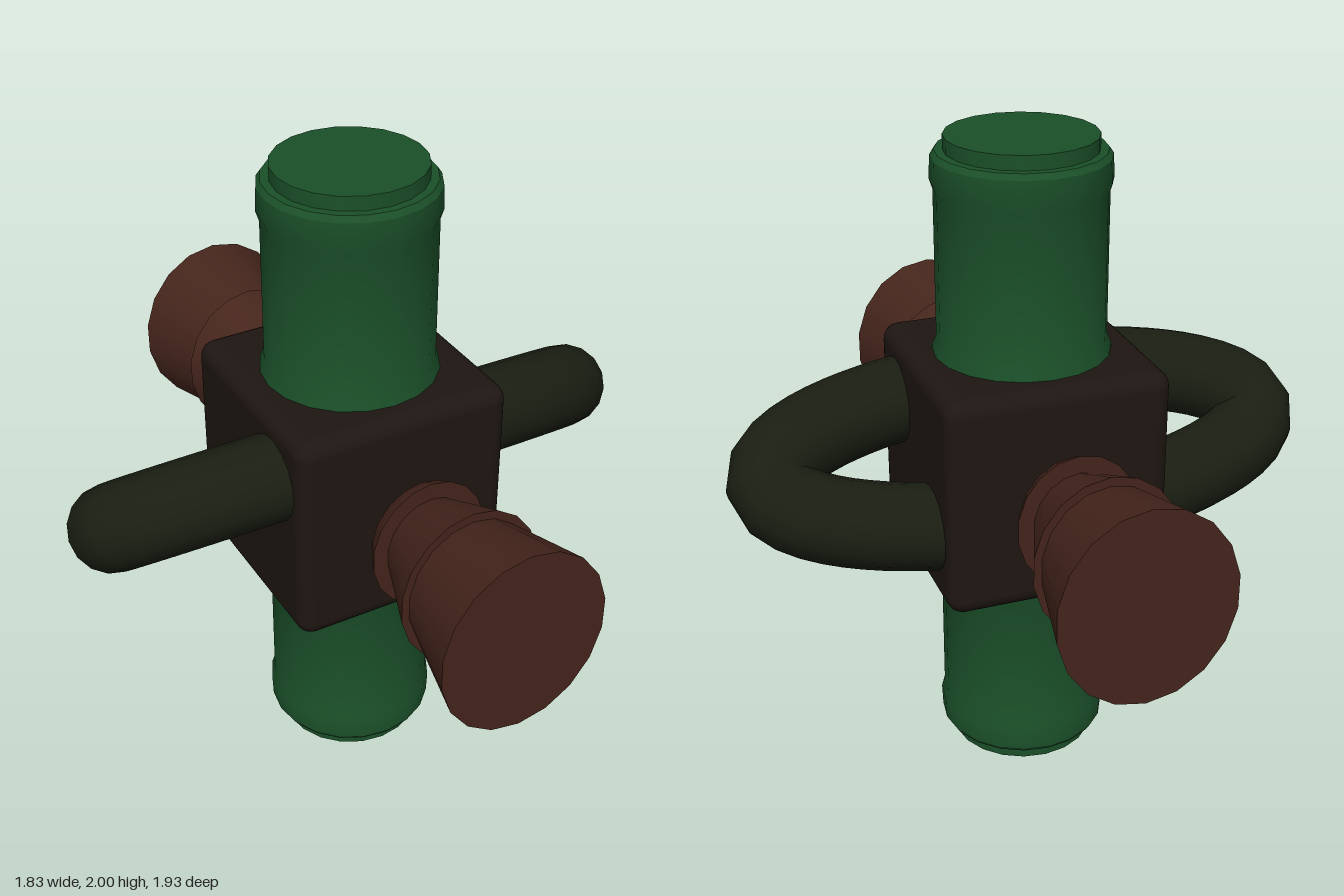
import * as THREE from 'three';
import { toCreasedNormals } from 'three/addons/utils/BufferGeometryUtils.js';
import { RoundedBoxGeometry } from 'three/addons/geometries/RoundedBoxGeometry.js';

const paint = (color) => new THREE.MeshStandardMaterial({ color });

// Turned part from [radius, height] pairs, listed from bottom to top
function turned(profile, sides) {
  const points = profile.map(([r, y]) => new THREE.Vector2(r, y));
  return toCreasedNormals(new THREE.LatheGeometry(points, sides), 0.55);
}

// Closed oval path in the xz plane
class Oval extends THREE.Curve {
  constructor(a, b) {
    super();
    this.a = a;
    this.b = b;
  }
  getPoint(t, target = new THREE.Vector3()) {
    const angle = t * Math.PI * 2;
    return target.set(this.a * Math.cos(angle), 0, this.b * Math.sin(angle));
  }
}

export function createModel() {
  const model = new THREE.Group();
  const add = (name, geometry, material) => {
    const mesh = new THREE.Mesh(geometry, material);
    mesh.name = name;
    model.add(mesh);
    return mesh;
  };

  const green = paint(0x1b5029);
  const brown = paint(0x45251c);

  // Central block
  add('block', new RoundedBoxGeometry(0.69, 0.69, 0.69, 3, 0.05), paint(0x1e1612))
    .position.y = 1.005;

  // Upright posts: flared foot, collar near the end and a narrower end plug
  const post = turned([
    [0.27, 0.3], [0.268, 0.36], [0.255, 0.39], [0.255, 0.84], [0.265, 0.87],
    [0.262, 0.94], [0.25, 0.957], [0.225, 0.957], [0.225, 1], [0, 1],
  ], 20);
  add('upperPost', post, green).position.y = 1;
  const lowerPost = add('lowerPost', post, green);
  lowerPost.position.y = 1;
  lowerPost.rotation.x = Math.PI;

  // Front and back horns: dome, then two flaring stepped cones, slightly oval
  const horn = turned([
    [0, 0.335], [0.055, 0.35], [0.13, 0.38], [0.185, 0.425], [0.21, 0.475],
    [0.157, 0.475], [0.252, 0.695], [0.225, 0.695], [0.296, 0.967], [0, 0.967],
  ], 18);
  horn.rotateX(Math.PI / 2);
  horn.scale(0.885, 1, 1);
  for (const [name, turn] of [['frontHorn', 0], ['backHorn', Math.PI]]) {
    const mesh = add(name, horn, brown);
    mesh.position.y = 0.996;
    mesh.rotation.y = turn;
  }

  // Tilted oval ring through the block, forming a handle on each side
  const ring = add('ringHandle',
    new THREE.TubeGeometry(new Oval(0.785, 0.24), 64, 0.132, 16, true), paint(0x1a1e12));
  ring.position.y = 1.022;
  ring.rotation.x = -THREE.MathUtils.degToRad(39);

  return model;
}
